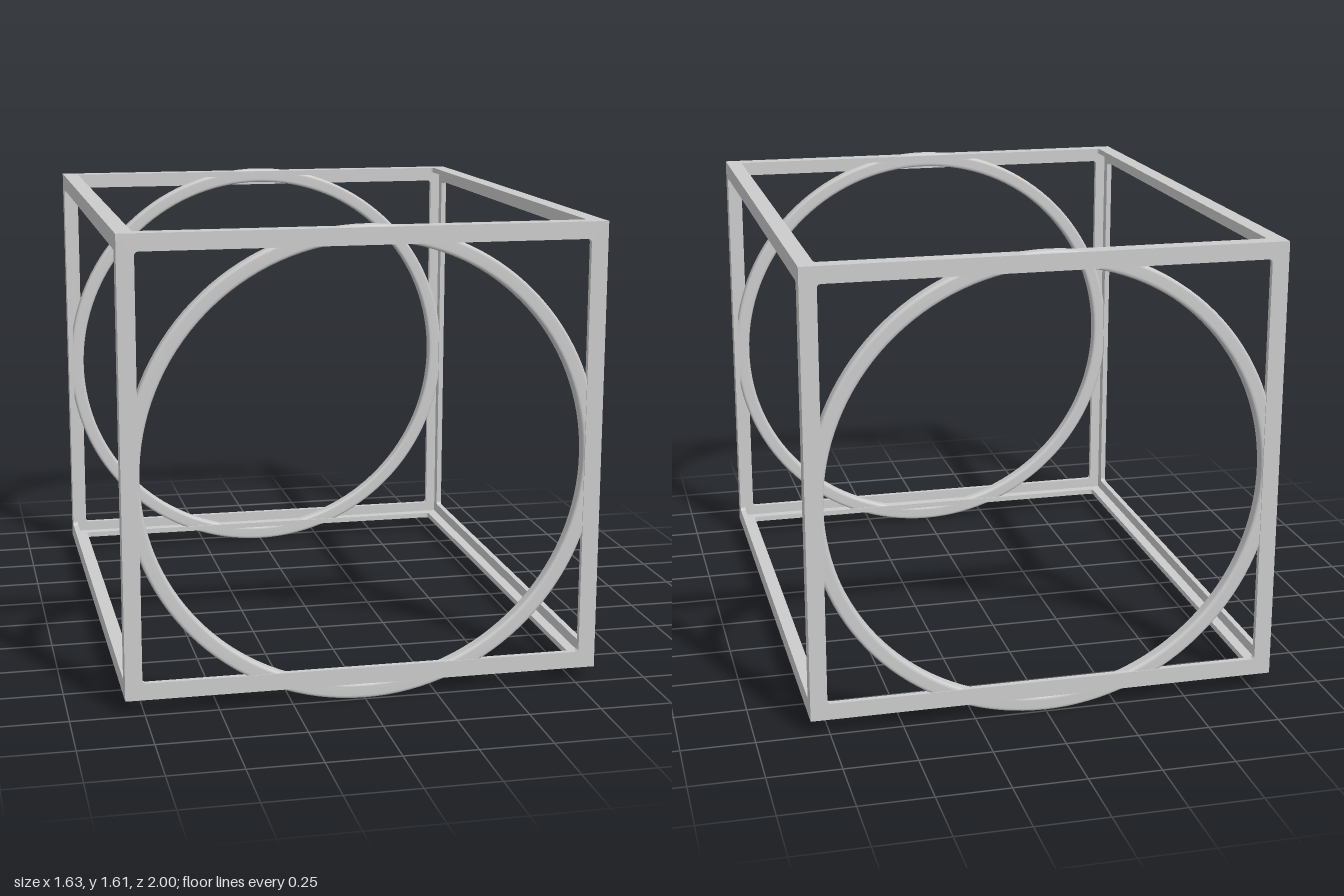
import * as THREE from 'three';

const material = new THREE.MeshStandardMaterial({ color: 0xcccccc });
const W = 1.63, H = 1.55, D = 2;      // frame outer size
const BASE = 0.055;                   // frame bottom
const FLANGE = 0.058, THICK = 0.02;   // angle-section flange width and thickness

function roundedRect(path, w, h, r) {
  const x = w / 2, y = h / 2;
  path.moveTo(-x + r, -y);
  path.lineTo(x - r, -y).quadraticCurveTo(x, -y, x, -y + r);
  path.lineTo(x, y - r).quadraticCurveTo(x, y, x - r, y);
  path.lineTo(-x + r, y).quadraticCurveTo(-x, y, -x, y - r);
  path.lineTo(-x, -y + r).quadraticCurveTo(-x, -y, -x + r, -y);
  return path;
}

// Flat rectangular border, outer face on z = 0, growing toward -z
function borderGeometry(w, h) {
  const shape = roundedRect(new THREE.Shape(), w, h, 0.003);
  shape.holes.push(roundedRect(new THREE.Path(), w - 2 * FLANGE, h - 2 * FLANGE, 0.014));
  return new THREE.ExtrudeGeometry(shape, { depth: THICK, bevelEnabled: false, curveSegments: 5 })
    .translate(0, 0, -THICK);
}

// Ring with a softened square section, axis along z
function ringGeometry(inner, outer, depth) {
  const section = roundedRect(new THREE.Path(), outer - inner, depth, 0.012);
  const points = section.getPoints(4).map(p => new THREE.Vector2(p.x + (inner + outer) / 2, p.y));
  return new THREE.LatheGeometry(points, 128).rotateX(Math.PI / 2);
}

export function createModel() {
  const model = new THREE.Group();
  const midY = BASE + H / 2;
  const add = (name, geometry, x, y, z, rx = 0, ry = 0) => {
    const mesh = new THREE.Mesh(geometry, material);
    mesh.name = name;
    mesh.position.set(x, y, z);
    mesh.rotation.set(rx, ry, 0);
    model.add(mesh);
  };

  // Six borders meet at right angles, giving angle-section bars along every edge
  const end = borderGeometry(W, H), side = borderGeometry(D, H), cap = borderGeometry(W, D);
  add('frontBorder', end, 0, midY, D / 2);
  add('backBorder', end, 0, midY, -D / 2, 0, Math.PI);
  add('leftBorder', side, W / 2, midY, 0, 0, Math.PI / 2);
  add('rightBorder', side, -W / 2, midY, 0, 0, -Math.PI / 2);
  add('topBorder', cap, 0, BASE + H, 0, -Math.PI / 2);
  add('bottomBorder', cap, 0, BASE, 0, Math.PI / 2);

  // Round hoops set into both ends
  const hoop = ringGeometry(0.752, 0.806, 0.05);
  add('frontHoop', hoop, 0, 0.807, 0.972);
  add('backHoop', hoop, 0, 0.807, -0.972);
  return model;
}
